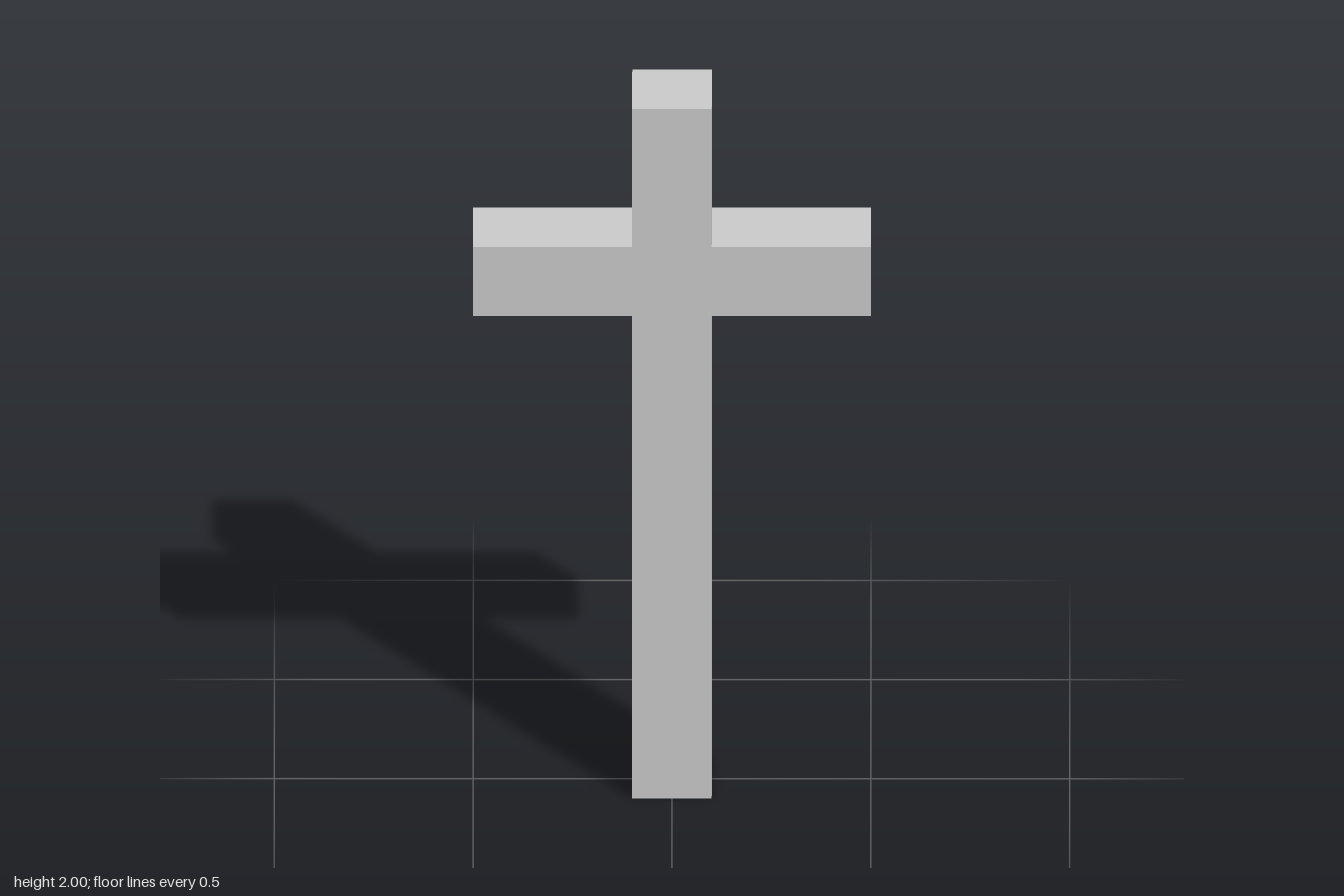
import * as THREE from 'three';

export function createModel() {
  const group = new THREE.Group();
  group.name = 'cross';

  const halfWidth = 0.1; // half thickness of post and arms
  const armReach = 0.5;
  const armBottom = 1.4;
  const armTop = 1.6;
  const height = 2;

  // Right-hand half of the outline, bottom to top, then mirrored
  const half = [
    [halfWidth, 0],
    [halfWidth, armBottom],
    [armReach, armBottom],
    [armReach, armTop],
    [halfWidth, armTop],
    [halfWidth, height],
  ];
  const mirrored = half.map(([x, y]) => [-x, y]).reverse();
  const outline = new THREE.Shape(
    [...half, ...mirrored].map(([x, y]) => new THREE.Vector2(x, y))
  );

  // Post and crossbar as one solid, centred in depth
  const geometry = new THREE.ExtrudeGeometry(outline, {
    depth: 2 * halfWidth,
    bevelEnabled: false,
  });
  geometry.translate(0, 0, -halfWidth);

  const material = new THREE.MeshStandardMaterial({ color: 0xcccccc, flatShading: true });
  const body = new THREE.Mesh(geometry, material);
  body.name = 'postAndCrossbar';
  group.add(body);

  return group;
}
